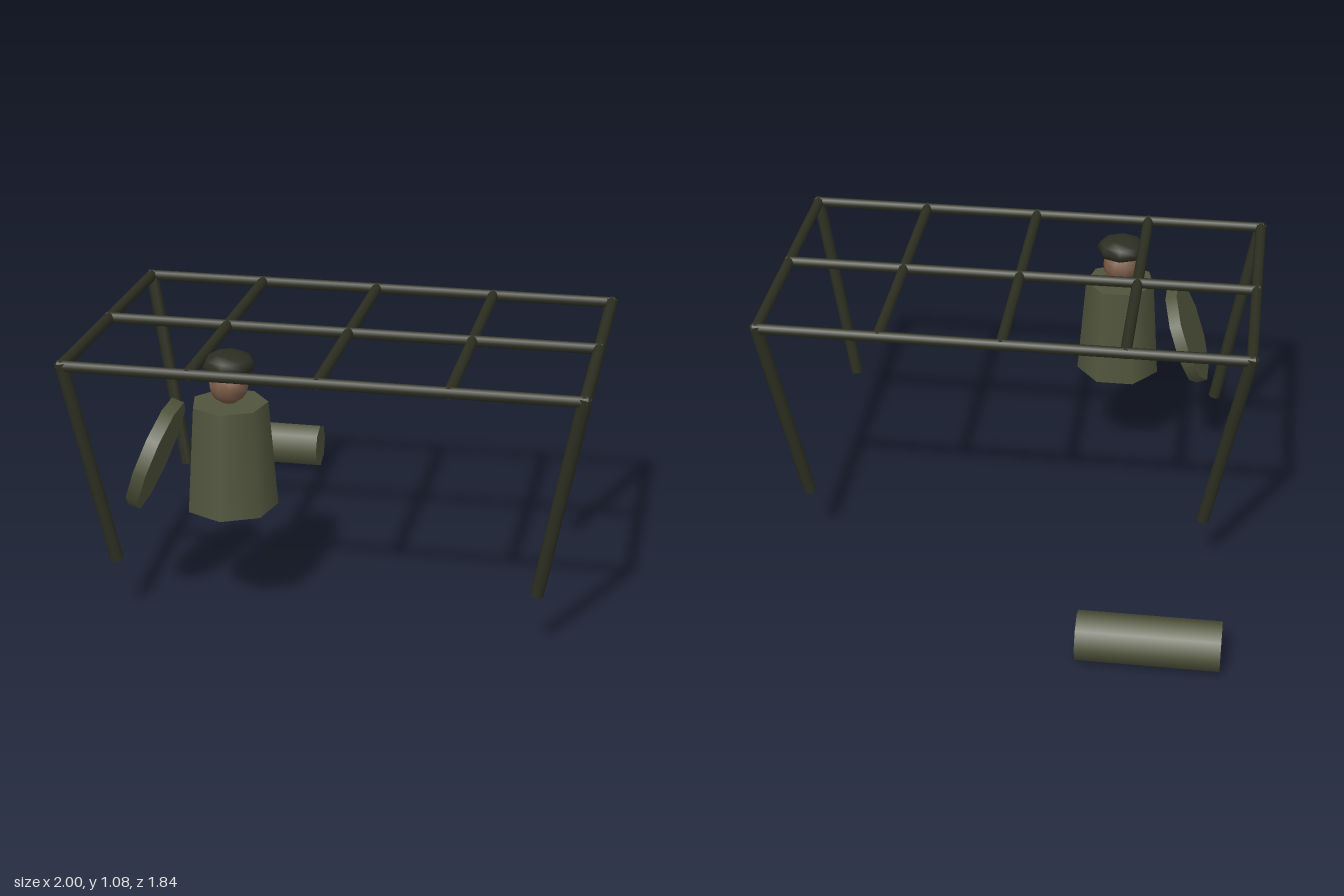
import * as THREE from 'three';

export function createModel() {
  const root = new THREE.Group();
  const material = (name, color) => {
    const m = new THREE.MeshStandardMaterial({ color });
    m.name = name;
    return m;
  };
  const darkIron = material('dark olive frame', 0x2d2f21);
  const olive = material('olive cloth', 0x51553d);
  const skin = material('skin', 0x7c5c48);
  const capColor = material('dark cap', 0x2c2d22);

  const add = (name, geometry, mat, x, y, z, parent = root) => {
    const mesh = new THREE.Mesh(geometry, mat);
    mesh.name = name;
    mesh.position.set(x, y, z);
    parent.add(mesh);
    return mesh;
  };

  // A round bar between two points
  const frame = new THREE.Group();
  frame.name = 'frame';
  root.add(frame);
  const up = new THREE.Vector3(0, 1, 0);
  const bar = (name, a, b, radius) => {
    const p = new THREE.Vector3(...a), q = new THREE.Vector3(...b);
    const dir = q.clone().sub(p);
    const mid = p.clone().add(q).multiplyScalar(0.5);
    const mesh = add(name, new THREE.CylinderGeometry(radius, radius, dir.length(), 8),
      darkIron, mid.x, mid.y, mid.z, frame);
    mesh.quaternion.setFromUnitVectors(up, dir.normalize());
  };

  // Canopy grid: three long rails and five cross bars
  const backZ = -0.275, frontZ = 0.89, topY = 1.052;
  for (const z of [backZ, 0.308, frontZ]) bar('longRail', [-0.985, topY, z], [0.985, topY, z], 0.0225);
  for (let i = -2; i <= 2; i++) {
    const x = i * 0.486;
    bar('crossBar', [x, topY, backZ - 0.01], [x, topY, frontZ + 0.01], 0.0225);
  }

  // Legs lean inwards towards the ground
  for (const side of [-1, 1]) {
    bar('frontLeg', [side * 0.973, 1.065, frontZ], [side * 0.818, 0.24, 0.81], 0.026);
    bar('backLeg', [side * 0.973, 1.065, backZ], [side * 0.818, 0.24, -0.18], 0.026);
  }

  // Standing figure: tapered cloak, head and flat cap
  const figure = new THREE.Group();
  figure.name = 'figure';
  figure.position.set(-0.39, 0, 0.67);
  root.add(figure);
  add('cloak', new THREE.CylinderGeometry(0.149, 0.18, 0.42, 7), olive, 0, 0.66, 0, figure);
  add('head', new THREE.SphereGeometry(0.077, 10, 8), skin, 0, 0.945, 0, figure);
  const cap = add('cap', new THREE.SphereGeometry(0.105, 8, 6), capColor, 0, 1.025, 0, figure);
  cap.scale.y = 0.48;

  // Tilted round shield beside the figure
  const shield = add('shield', new THREE.CylinderGeometry(0.225, 0.225, 0.05, 10), olive, -0.688, 0.636, 0.67);
  shield.rotation.z = 1.21;

  // Bedroll lying behind the frame
  const roll = add('bedroll', new THREE.CylinderGeometry(0.098, 0.098, 0.56, 8), olive, -0.65, 0.098, -0.825);
  roll.rotation.z = Math.PI / 2;

  return root;
}
